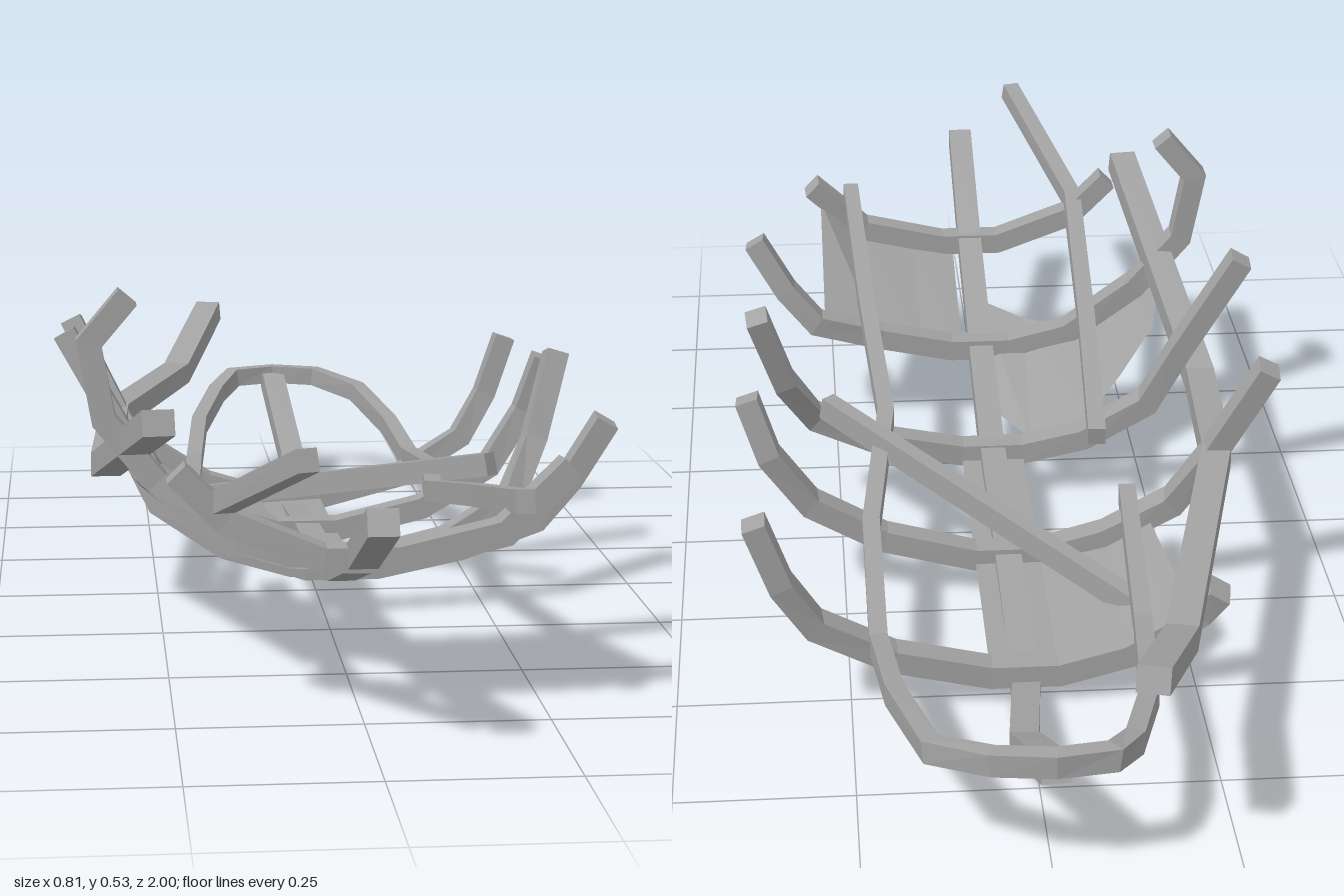
import * as THREE from 'three';

const wood = new THREE.MeshStandardMaterial({ color: 0xa2a2a2, flatShading: true, side: THREE.DoubleSide });
wood.name = 'weathered grey';

const Z = new THREE.Vector3(0, 0, 1);
const Y = new THREE.Vector3(0, 1, 0);

// Rectangular timber swept along a polyline with mitred joints.
// w is the size along the ref-derived side axis, h the size across it.
function beam(name, pts, w, h, isRib) {
  const p = pts.map(a => new THREE.Vector3(...a));
  const pos = [], idx = [];
  p.forEach((c, i) => {
    const din = c.clone().sub(p[Math.max(i - 1, 0)]).normalize();
    const dout = p[Math.min(i + 1, p.length - 1)].clone().sub(c).normalize();
    const t = din.clone().add(dout).normalize();
    const miter = i > 0 && i < p.length - 1 ? 1 / Math.max(0.7, t.dot(din)) : 1;
    let side, nor;
    if (isRib) {
      nor = Z.clone().cross(t).normalize();
      side = t.clone().cross(nor).normalize();
    } else {
      side = t.clone().cross(Y).normalize();
      nor = side.clone().cross(t).normalize();
    }
    const a = side.multiplyScalar(w / 2 * (isRib ? 1 : miter));
    const b = nor.multiplyScalar(h / 2 * (isRib ? miter : 1));
    for (const [u, v] of [[-1, -1], [1, -1], [1, 1], [-1, 1]]) {
      pos.push(c.x + a.x * u + b.x * v, c.y + a.y * u + b.y * v, c.z + a.z * u + b.z * v);
    }
  });
  for (let i = 0; i < p.length - 1; i++) {
    for (let k = 0; k < 4; k++) {
      const a = i * 4 + k, b = i * 4 + (k + 1) % 4;
      // rib frames are mirrored relative to plank frames
      if (isRib) idx.push(a, b, b + 4, a, b + 4, a + 4);
      else idx.push(a, b, b + 4, a, b + 4, a + 4);
    }
  }
  const e = (p.length - 1) * 4;
  idx.push(0, 2, 1, 0, 3, 2, e, e + 1, e + 2, e, e + 2, e + 3);
  // make the winding face outwards whichever way the frame turns
  const v = i => new THREE.Vector3().fromArray(pos, i * 3);
  const n = v(1).sub(v(0)).cross(v(5).sub(v(0)));
  const mid = v(0).add(v(1)).multiplyScalar(0.5).sub(p[0]);
  if (n.dot(mid) < 0) for (let i = 0; i < idx.length; i += 3) [idx[i], idx[i + 1]] = [idx[i + 1], idx[i]];
  return finish(name, pos, idx);
}

// Thin hull sheet ruled between two edges of equal point count
function sheet(name, edgeA, edgeB) {
  const n = edgeA.length, idx = [];
  for (let i = 0; i < n - 1; i++) idx.push(i, i + n, i + 1, i + 1, i + n, i + n + 1);
  return finish(name, [...edgeA, ...edgeB].flat(), idx);
}

function finish(name, pos, idx) {
  const g = new THREE.BufferGeometry();
  g.setAttribute('position', new THREE.Float32BufferAttribute(pos, 3));
  g.setIndex(idx);
  const flat = g.toNonIndexed();
  flat.computeVertexNormals();
  const m = new THREE.Mesh(flat, wood);
  m.name = name;
  return m;
}

export function createModel() {
  const boat = new THREE.Group();
  boat.name = 'wreckedBoatFrame';

  // Keel, rising at both ends
  boat.add(beam('keel', [
    [0, 0.322, 0.97], [0, 0.218, 0.71], [0, 0.135, 0.42], [0, 0.075, 0.14], [0, 0.055, -0.17],
    [0, 0.019, -0.53], [0.02, 0.065, -0.74], [0, 0.178, -0.98]], 0.04, 0.036));

  // Ribs, front to back
  const ribs = [
    [[-0.245, 0.335, 0.7], [-0.18, 0.27, 0.7], [-0.05, 0.218, 0.71], [0.05, 0.218, 0.71],
      [0.19, 0.25, 0.71], [0.28, 0.335, 0.7]],
    [[-0.3, 0.525, 0.38], [-0.355, 0.46, 0.38], [-0.335, 0.35, 0.385], [-0.26, 0.26, 0.39],
      [-0.15, 0.17, 0.41], [-0.05, 0.14, 0.42], [0.05, 0.14, 0.42], [0.17, 0.165, 0.42],
      [0.28, 0.2, 0.405], [0.33, 0.26, 0.41], [0.38, 0.345, 0.42]],
    [[-0.39, 0.43, 0.08], [-0.3, 0.27, 0.1], [-0.25, 0.17, 0.115], [-0.15, 0.105, 0.13],
      [-0.05, 0.078, 0.14], [0.05, 0.078, 0.14], [0.19, 0.11, 0.13], [0.29, 0.165, 0.11],
      [0.335, 0.25, 0.06], [0.375, 0.38, 0.02]],
    [[-0.38, 0.4, -0.27], [-0.3, 0.24, -0.235], [-0.25, 0.155, -0.21], [-0.15, 0.09, -0.19],
      [-0.05, 0.06, -0.185], [0.05, 0.06, -0.185], [0.19, 0.095, -0.18], [0.3, 0.16, -0.185],
      [0.36, 0.25, -0.2], [0.39, 0.34, -0.19]],
    [[-0.275, 0.18, -0.535], [-0.25, 0.14, -0.52], [-0.15, 0.075, -0.515], [-0.05, 0.045, -0.51],
      [0.05, 0.045, -0.51], [0.19, 0.08, -0.515], [0.3, 0.145, -0.53], [0.345, 0.22, -0.545],
      [0.38, 0.32, -0.55]],
  ];
  ribs.forEach((r, i) => boat.add(beam('rib' + (i + 1), r, 0.04, 0.034, true)));

  // Side rail wrapping round the stern
  boat.add(beam('sternRail', [
    [0.21, 0.3, 0.76], [0.195, 0.235, 0.4], [0.175, 0.175, 0.08], [0.21, 0.145, -0.24],
    [0.21, 0.11, -0.53], [0.195, 0.135, -0.71], [0.155, 0.165, -0.9], [0.08, 0.185, -0.965],
    [0, 0.188, -0.98], [-0.075, 0.185, -0.965], [-0.11, 0.165, -0.9], [-0.15, 0.135, -0.74],
    [-0.17, 0.11, -0.5], [-0.19, 0.13, -0.13]], 0.026, 0.032));

  // Loose planks
  boat.add(beam('bowPlank', [
    [-0.095, 0.405, 0.99], [-0.185, 0.295, 0.71], [-0.175, 0.215, 0.35], [-0.16, 0.15, 0.03]], 0.028, 0.03));
  boat.add(beam('gunwalePlank', [
    [-0.12, 0.31, -0.99], [-0.19, 0.23, -0.75], [-0.31, 0.245, -0.24], [-0.33, 0.225, 0.08],
    [-0.265, 0.39, 0.64]], 0.044, 0.036));
  boat.add(beam('diagonalPlank', [[-0.22, 0.06, -0.43], [0.27, 0.21, 0.05]], 0.026, 0.036));

  // Remaining hull sheets
  boat.add(sheet('bowHullSheet',
    [[0.03, 0.202, 0.7], [0.1, 0.215, 0.7], [0.19, 0.235, 0.7], [0.265, 0.305, 0.7]],
    [[0.03, 0.125, 0.42], [0.1, 0.135, 0.42], [0.17, 0.15, 0.42], [0.265, 0.185, 0.41]]));
  boat.add(sheet('midHullSheet',
    [[-0.3, 0.27, 0.38], [-0.26, 0.235, 0.4], [-0.16, 0.165, 0.43], [-0.08, 0.155, 0.5], [-0.01, 0.165, 0.56]],
    [[-0.28, 0.23, 0.28], [-0.22, 0.17, 0.22], [-0.16, 0.12, 0.165], [-0.065, 0.085, 0.165], [-0.01, 0.09, 0.27]]));
  boat.add(sheet('sternHullSheet',
    [[0.05, 0.045, -0.5], [-0.05, 0.04, -0.5], [-0.15, 0.065, -0.5], [-0.21, 0.105, -0.48], [-0.235, 0.13, -0.43]],
    [[0.05, 0.055, -0.19], [-0.05, 0.055, -0.19], [-0.15, 0.08, -0.19], [-0.2, 0.115, -0.2], [-0.215, 0.125, -0.22]]));
  boat.add(sheet('keelHullSheet',
    [[0.05, 0.07, 0.13], [-0.05, 0.07, 0.13]],
    [[0.05, 0.055, -0.19], [-0.05, 0.055, -0.19]]));

  return boat;
}
